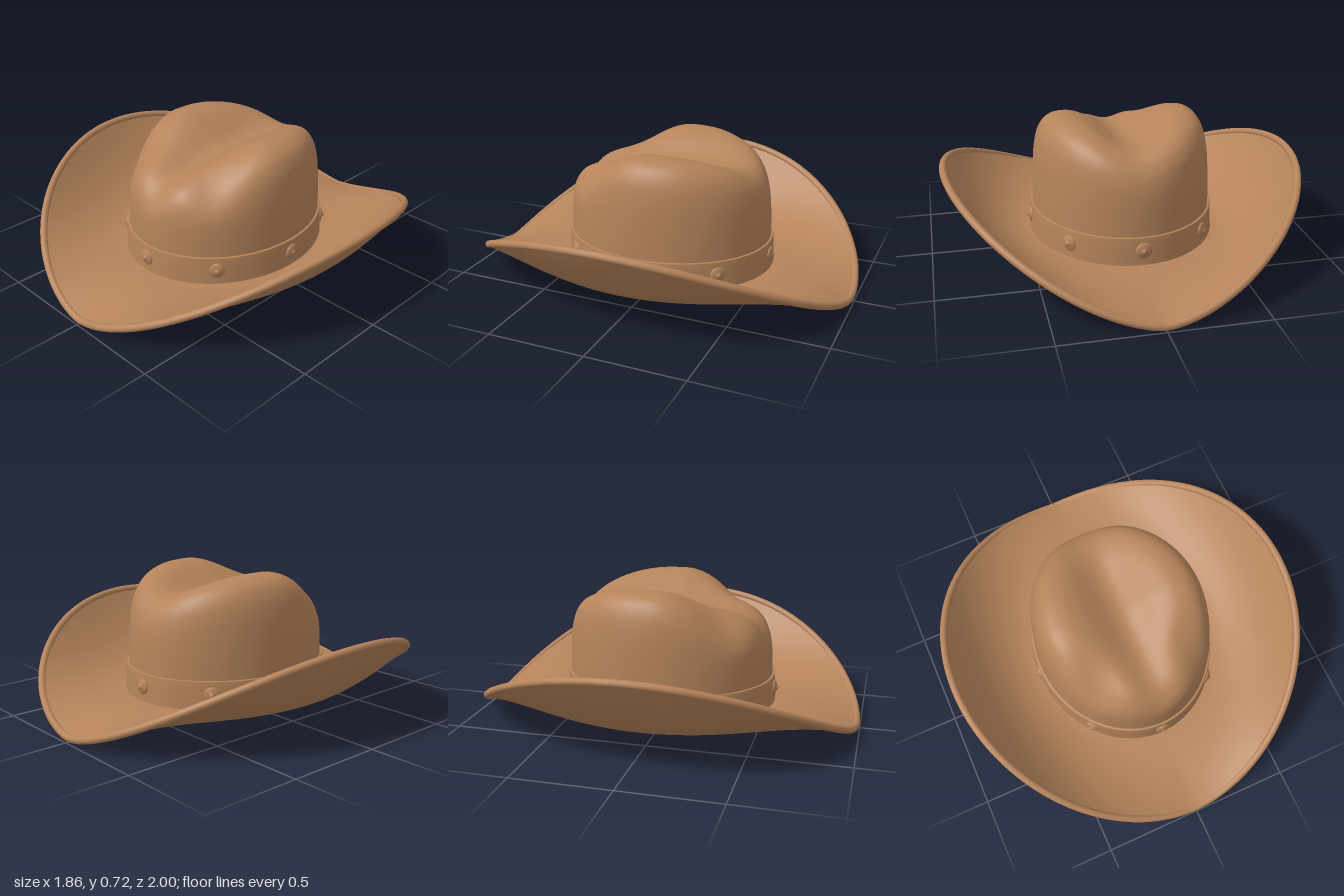
import * as THREE from 'three';

const felt = new THREE.MeshStandardMaterial({ color: 0xb5835a, side: THREE.DoubleSide });
felt.name = 'tanFelt';

const SEG = 128;
const CROWN_X = 0.46, CROWN_Z = 0.537; // crown radii at the base
const RIM_X = 0.912, RIM_Z = 0.981; // brim edge radii
const smooth = THREE.MathUtils.smoothstep;
const lerp = THREE.MathUtils.lerp;

// Closed sheet around the y axis: fn(angle, v) gives a point, angle 0 faces +z
function sheet(name, rows, fn) {
  const pos = [], index = [];
  for (let j = 0; j <= rows; j++) {
    for (let i = 0; i < SEG; i++) pos.push(...fn((i / SEG) * Math.PI * 2, j / rows));
  }
  for (let j = 0; j < rows; j++) {
    for (let i = 0; i < SEG; i++) {
      const a = j * SEG + i, b = j * SEG + ((i + 1) % SEG);
      index.push(a, b, a + SEG, b, b + SEG, a + SEG);
    }
  }
  const geo = new THREE.BufferGeometry();
  geo.setAttribute('position', new THREE.Float32BufferAttribute(pos, 3));
  geo.setIndex(index);
  geo.computeVertexNormals();
  return part(name, geo);
}

function part(name, geo) {
  const mesh = new THREE.Mesh(geo, felt);
  mesh.name = name;
  return mesh;
}

// Middle of the brim: t = 0 at the crown, 1 at the edge; sides curl up, ends dip
function brimPoint(a, t, offset = 0) {
  const curl = -0.073 + 0.443 * Math.pow(Math.abs(Math.sin(a)), 1.5);
  return [
    Math.sin(a) * lerp(CROWN_X, RIM_X, t),
    0.095 + curl * Math.pow(t, 2.1) + offset,
    Math.cos(a) * lerp(CROWN_Z, RIM_Z, t),
  ];
}

// Crown outline (scale, height) from the base to the middle of the top
const crownProfile = new THREE.CatmullRomCurve3([
  [1, 0.09], [1, 0.25], [0.985, 0.45], [0.965, 0.55], [0.93, 0.625], [0.87, 0.68],
  [0.78, 0.715], [0.62, 0.735], [0.4, 0.738], [0.2, 0.738], [0.002, 0.738],
].map(([s, h]) => new THREE.Vector3(s, h, 0)), false, 'centripetal');

function crownPoint(a, v) {
  const p = crownProfile.getPoint(v);
  const x = Math.sin(a) * CROWN_X * p.x;
  const z = Math.cos(a) * CROWN_Z * p.x;
  const front = smooth(z, 0.05, 0.4), back = smooth(-z, 0.1, 0.5);
  // lengthwise crease, narrower and shallower at the front
  const width = lerp(0.12, 0.08, front);
  const depth = 0.125 - 0.06 * front - 0.055 * back;
  const crease = depth * Math.exp(-0.5 * (x / width) ** 2);
  // finger dents beside the front of the crease
  const dent = 0.05 * Math.exp(-(((Math.abs(x) - 0.27) / 0.12) ** 2) - ((z - 0.34) / 0.15) ** 2);
  const slope = 0.105 * smooth(z, 0, 0.42) + 0.03 * back;
  const w = smooth(p.y, 0.32, 0.7);
  return [x, p.y - w * (crease + dent + slope), z];
}

// Band cross-section (offset from crown, height), outer face then top edge
const bandProfile = [[0.02, 0.09], [0.018, 0.13], [0.015, 0.2], [0.012, 0.246], [0.009, 0.25], [-0.004, 0.25]];

// Domed stud with a small centre bead, pointing along its own y
const studProfile = [[0.04, -0.008], [0.04, 0.002], [0.034, 0.007], [0.022, 0.011], [0.012, 0.013],
  [0.01, 0.018], [0.006, 0.021], [0, 0.022]].map(([r, y]) => new THREE.Vector2(r, y));

export function createModel() {
  const hat = new THREE.Group();
  hat.name = 'hat';

  // Crown, open below
  hat.add(sheet('crown', 72, crownPoint));

  // Brim
  const brim = new THREE.Group();
  brim.name = 'brim';
  brim.add(sheet('brimUnderside', 28, (a, v) => brimPoint(a, v, -0.014)));
  brim.add(sheet('brimTop', 28, (a, v) => brimPoint(a, 1 - v, 0.014)));
  brim.add(sheet('headOpening', 1, (a, v) => brimPoint(a, 0, 0.014 - 0.028 * v)));
  const edge = Array.from({ length: 96 }, (_, i) =>
    new THREE.Vector3(...brimPoint((i / 96) * Math.PI * 2, 1)));
  brim.add(part('brimEdge', new THREE.TubeGeometry(new THREE.CatmullRomCurve3(edge, true), 192, 0.019, 12, true)));
  hat.add(brim);

  // Band around the crown
  hat.add(sheet('band', bandProfile.length - 1, (a, v) => {
    const [o, y] = bandProfile[Math.round(v * (bandProfile.length - 1))];
    return [Math.sin(a) * (CROWN_X + o), y, Math.cos(a) * (CROWN_Z + o)];
  }));

  // Eight studs on the band
  const studs = new THREE.Group();
  studs.name = 'studs';
  const studGeo = new THREE.LatheGeometry(studProfile, 24);
  for (let i = 0; i < 8; i++) {
    const a = (i / 8) * Math.PI * 2;
    const rx = CROWN_X + 0.016, rz = CROWN_Z + 0.016;
    const stud = part('stud', studGeo);
    stud.position.set(Math.sin(a) * rx, 0.183, Math.cos(a) * rz);
    const out = new THREE.Vector3(Math.sin(a) / rx, 0, Math.cos(a) / rz).normalize();
    stud.quaternion.setFromUnitVectors(new THREE.Vector3(0, 1, 0), out);
    studs.add(stud);
  }
  hat.add(studs);
  return hat;
}
